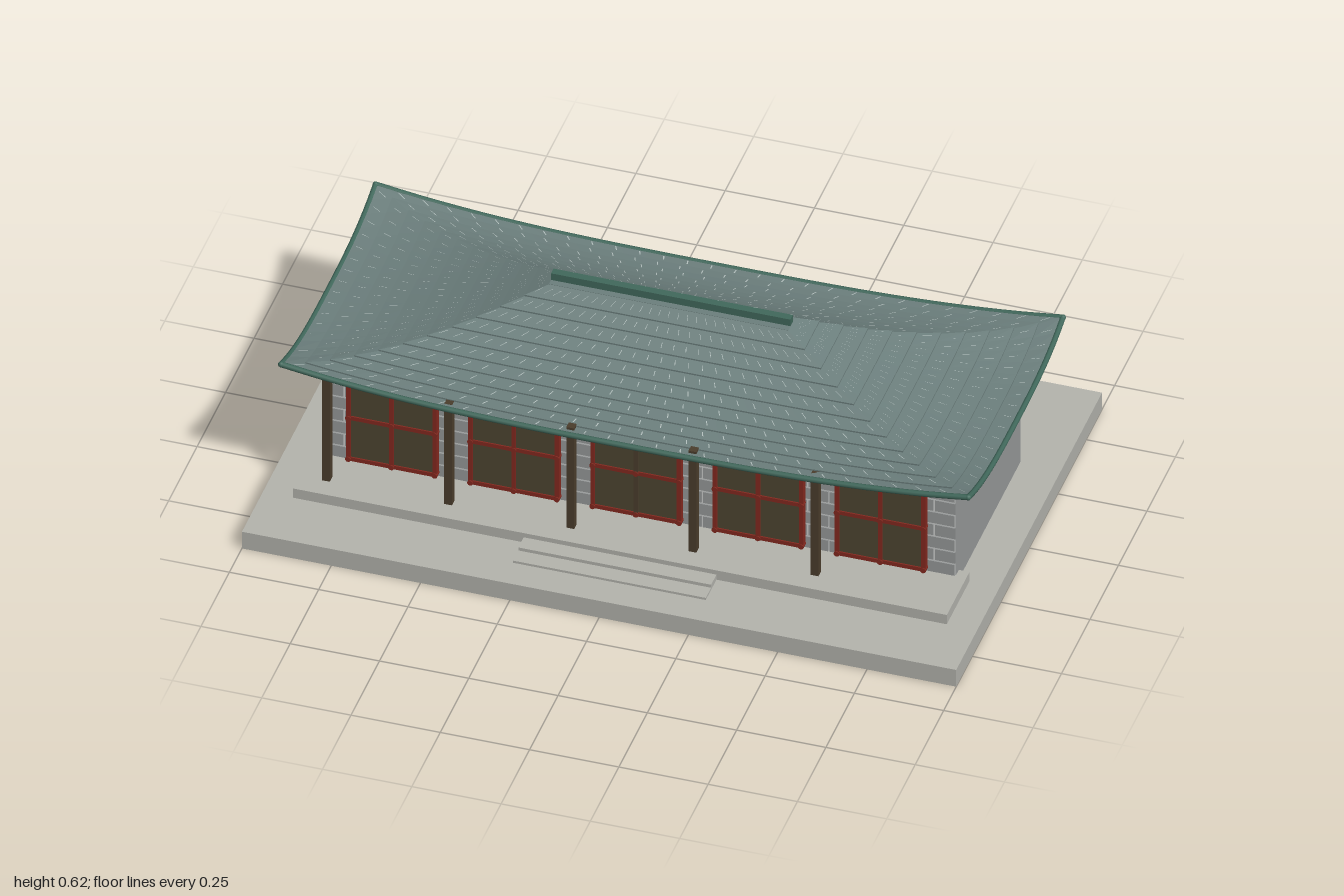
import * as THREE from 'three';

const mat = (name, color, double) => {
  const m = new THREE.MeshStandardMaterial({ color });
  m.name = name;
  if (double) m.side = THREE.DoubleSide;
  return m;
};

// Hipped roof surface: t runs ridge to eave, s runs -1..1 along a side
const HALL = { ridgeX: 0.335, ridgeZ: 0.03, eaveX: 0.962, eaveZ: 0.415, top: 0.597, eave: 0.413, lift: 0.05 };
function roofPoint(side, t, s, up = 0) {
  const hx = HALL.ridgeX + (HALL.eaveX - HALL.ridgeX) * t;
  const hz = HALL.ridgeZ + (HALL.eaveZ - HALL.ridgeZ) * t;
  const y = HALL.eave + (HALL.top - HALL.eave) * Math.pow(1 - t, 1.7)
    + HALL.lift * Math.pow(t, 3) * Math.pow(Math.abs(s), 3) + up;
  const [x, z] = [[s * hx, hz], [hx, -s * hz], [-s * hx, -hz], [-hx, s * hz]][side];
  return new THREE.Vector3(x, y, z);
}

function quadGeometry(quads) {
  const pos = [];
  for (const [a, b, c, d] of quads) {
    for (const p of [a, b, c, a, c, d]) pos.push(p.x, p.y, p.z);
  }
  const g = new THREE.BufferGeometry();
  g.setAttribute('position', new THREE.Float32BufferAttribute(pos, 3));
  g.computeVertexNormals();
  return g;
}

export function createModel() {
  const stone = mat('paving stone', 0xb4b4ad);
  const wallGrey = mat('wall grey', 0x979a9a);
  const mortar = mat('pale mortar', 0xcfd1cf);
  const wood = mat('dark wood', 0x4b3d2c);
  const panelBrown = mat('door panel brown', 0x4e4531);
  const red = mat('red lacquer', 0x84291f);
  const tile = mat('roof tile', 0x6c7f7d, true);
  const joint = mat('tile joint', 0xb4c0be, true);
  const green = mat('green trim', 0x41695c, true);

  const model = new THREE.Group();
  model.name = 'hall';
  const group = (name) => {
    const g = new THREE.Group();
    g.name = name;
    model.add(g);
    return g;
  };
  const add = (parent, name, geometry, material) => {
    const m = new THREE.Mesh(geometry, material);
    m.name = name;
    parent.add(m);
    return m;
  };
  // Box given by its limits on each axis
  const box = (parent, name, material, x0, x1, y0, y1, z0, z1) => {
    const m = add(parent, name, new THREE.BoxGeometry(x1 - x0, y1 - y0, z1 - z0), material);
    m.position.set((x0 + x1) / 2, (y0 + y1) / 2, (z0 + z1) / 2);
    return m;
  };

  // Platform, terrace and steps
  box(model, 'platform', stone, -1, 1, 0, 0.056, -0.64, 0.64);
  box(model, 'terrace', stone, -0.915, 0.915, 0.056, 0.087, 0.257, 0.456);
  box(model, 'upperStep', stone, -0.27, 0.27, 0.056, 0.073, 0.456, 0.503);
  box(model, 'lowerStep', stone, -0.27, 0.27, 0.056, 0.063, 0.503, 0.55);

  // Hall body with a brick front laid in running bond
  box(model, 'walls', wallGrey, -0.885, 0.885, 0.056, 0.415, -0.285, 0.281);
  box(model, 'mortarBed', mortar, -0.884, 0.884, 0.087, 0.414, 0.281, 0.285);
  const bricks = group('brickFront');
  const rows = 8, brickW = 0.118, brickH = 0.327 / rows, gap = 0.0025;
  for (let r = 0; r < rows; r++) {
    const y = 0.087 + r * brickH;
    for (let x = -0.885 - (r % 2) * brickW / 2; x < 0.88; x += brickW) {
      const x0 = Math.max(x + gap, -0.885), x1 = Math.min(x + brickW - gap, 0.885);
      if (x1 - x0 > 0.01) box(bricks, 'brick', wallGrey, x0, x1, y + gap, y + brickH - gap, 0.284, 0.289);
    }
  }

  // Five latticed doors
  for (let i = -2; i <= 2; i++) {
    const door = group('door');
    door.position.x = i * 0.342;
    const w = 0.121, y0 = 0.112, y1 = 0.386, mid = (y0 + y1) / 2, b = 0.006;
    box(door, 'doorPanel', panelBrown, -w, w, y0, y1, 0.302, 0.314);
    for (const x of [-w, 0, w]) {
      box(door, 'doorStile', x === 0 && i === 0 ? wood : red, x - b, x + b, y0, y1, 0.300, 0.319);
    }
    for (const y of [y0, mid, y1]) {
      box(door, 'doorRail', red, -w - b, w + b, y - b, y + b, 0.300, 0.318);
      for (const x of [-w, 0, w]) {
        const stud = add(door, 'doorStud', new THREE.CylinderGeometry(0.008, 0.008, 0.022, 10), red);
        stud.rotation.x = Math.PI / 2;
        stud.position.set(x, y, 0.311);
      }
    }
  }

  // Porch columns
  const columns = group('columns');
  for (let i = 0; i < 5; i++) {
    const x = -0.842 + i * 0.342;
    box(columns, 'column', wood, x - 0.011, x + 0.011, 0.087, 0.424, 0.376, 0.398);
  }

  // Roof: overlapping tile courses, staggered joints and a soffit
  const roof = group('roof');
  const courses = 11, lap = 0.0045;
  const tiles = [], joints = [], soffit = [];
  for (let side = 0; side < 4; side++) {
    const n = side % 2 ? 16 : 28;
    for (let r = 0; r < courses; r++) {
      const t0 = r / courses, t1 = (r + 1) / courses;
      for (let k = 0; k < n; k++) {
        const s0 = -1 + 2 * k / n, s1 = s0 + 2 / n;
        const low0 = roofPoint(side, t1, s0, lap), low1 = roofPoint(side, t1, s1, lap);
        tiles.push([roofPoint(side, t0, s0), low0, low1, roofPoint(side, t0, s1)]);
        tiles.push([low0, roofPoint(side, t1, s0), roofPoint(side, t1, s1), low1]);
        soffit.push([roofPoint(side, t0, s1, -0.008), roofPoint(side, t1, s1, -0.008),
          roofPoint(side, t1, s0, -0.008), roofPoint(side, t0, s0, -0.008)]);
        // Short pale joint between neighbouring tiles
        const s = s0 + (r % 2 ? 1 : 0.5) / n, d = 0.0018;
        const ta = t0 + 0.3 / courses, tb = t0 + 0.7 / courses;
        joints.push([roofPoint(side, ta, s - d, 0.0035), roofPoint(side, tb, s - d, 0.005),
          roofPoint(side, tb, s + d, 0.005), roofPoint(side, ta, s + d, 0.0035)]);
      }
    }
  }
  add(roof, 'tileCourses', quadGeometry(tiles), tile);
  add(roof, 'tileJoints', quadGeometry(joints), joint);
  add(roof, 'soffit', quadGeometry(soffit), green);
  box(roof, 'roofCap', tile, -0.335, 0.335, 0.590, 0.598, -0.03, 0.03);
  box(roof, 'ridge', green, -0.335, 0.335, 0.594, 0.62, -0.011, 0.011);

  // Upswept eave trim along each side, with rounded corners
  for (let side = 0; side < 4; side++) {
    const pts = [];
    for (let k = 0; k <= 16; k++) pts.push(roofPoint(side, 1, -1 + k / 8));
    const curve = new THREE.CatmullRomCurve3(pts);
    add(roof, 'eaveTrim', new THREE.TubeGeometry(curve, 32, 0.008, 8), green);
    add(roof, 'eaveCorner', new THREE.SphereGeometry(0.0085, 10, 8), green).position.copy(pts[0]);
  }
  return model;
}
